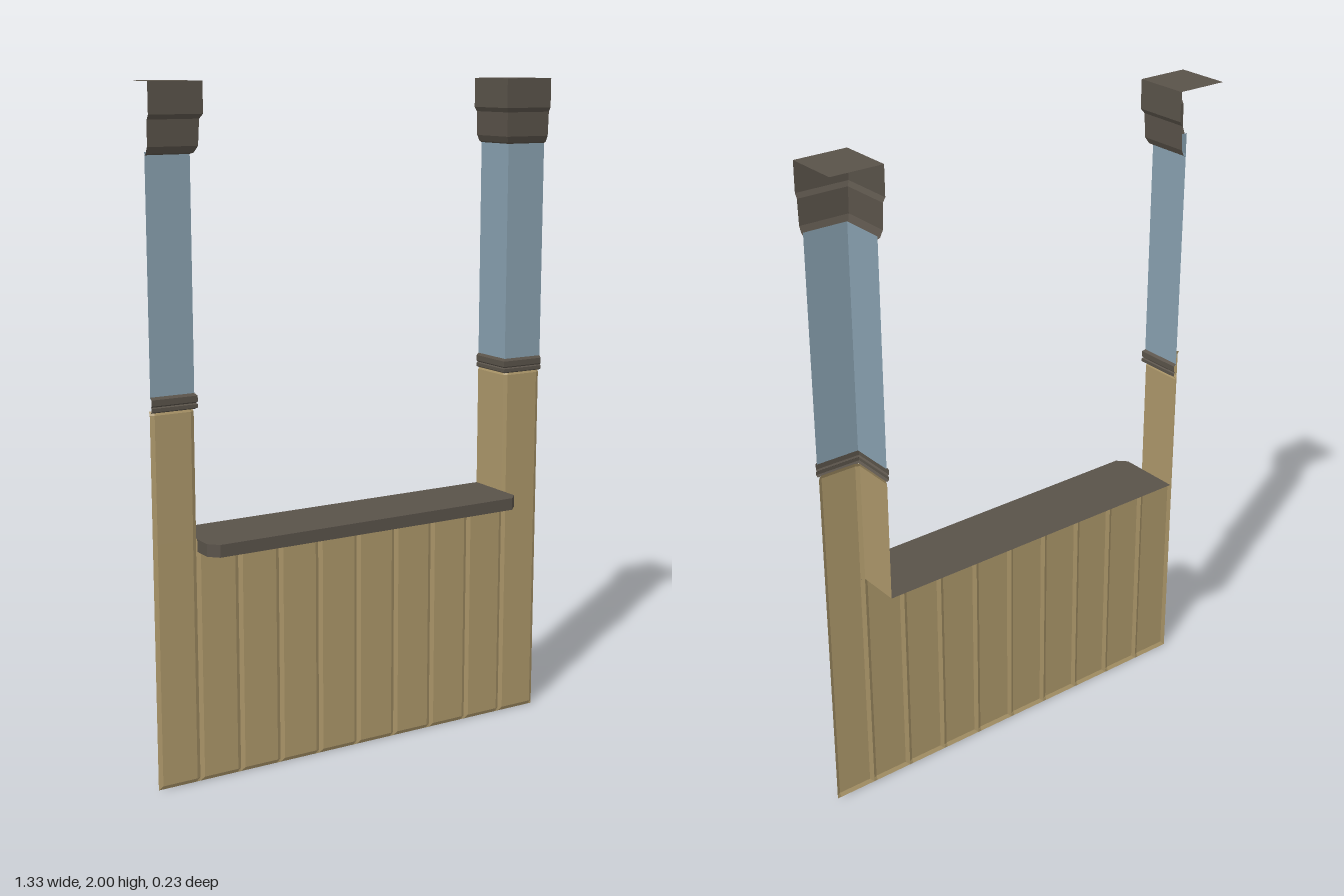
import * as THREE from 'three';

const HALF = 0.667;    // half width of the whole wall
const INNER = 0.533;   // inner face of each post
const FRONT = 0.024;   // front face of the planks
const BACK = -0.115;   // open back edge
const SILL_Y = 0.73;
const BEVEL = 0.012, GROOVE = 0.006;

// Flat-shaded open surface from rows of points (rows go up, points go left to right as seen from outside)
function surface(rows) {
  const pos = [];
  for (let r = 0; r < rows.length - 1; r++) {
    for (let c = 0; c < rows[r].length - 1; c++) {
      const a = rows[r][c], b = rows[r][c + 1], d = rows[r + 1][c + 1], e = rows[r + 1][c];
      pos.push(...a, ...b, ...d, ...a, ...d, ...e);
    }
  }
  const geo = new THREE.BufferGeometry();
  geo.setAttribute('position', new THREE.Float32BufferAttribute(pos, 3));
  geo.computeVertexNormals();
  return geo;
}

// L-shaped shell (inner side + front) swept along a profile of [outward offset, height]
function postShell(profile, side, bevelled = false) {
  return surface(profile.map(([o, y]) => {
    const x = INNER - o, z = FRONT + o;
    const path = bevelled
      ? [[x, BACK], [x, z - GROOVE], [x + BEVEL, z], [HALF - BEVEL, z], [HALF, z - GROOVE]]
      : [[x, BACK], [x, z], [HALF, z]];
    const row = path.map(([px, pz]) => [px * side, y, pz]);
    return side > 0 ? row : row.reverse();
  }));
}

function flatPlate(x0, x1, z0, z1, y) {
  return surface([[[x0, y, z1], [x1, y, z1]], [[x0, y, z0], [x1, y, z0]]]);
}

export function createModel() {
  const material = (name, color) => {
    const m = new THREE.MeshStandardMaterial({ color, side: THREE.DoubleSide });
    m.name = name;
    return m;
  };
  const wood = material('tan wood', 0xab9669);
  const blue = material('blue paint', 0x879fae);
  const dark = material('dark trim', 0x595249);

  const model = new THREE.Group();
  model.name = 'counterWall';
  const add = (parent, name, geo, mat) => {
    const mesh = new THREE.Mesh(geo, mat);
    mesh.name = name;
    parent.add(mesh);
    return mesh;
  };

  // Planked lower wall: ten bevelled boards with a bevelled foot
  const plankCount = 10, w = (2 * HALF) / plankCount;
  const wallRows = [[0, GROOVE], [BEVEL, 0], [SILL_Y, 0]].map(([y, inset]) => {
    const row = [];
    for (let i = 0; i < plankCount; i++) {
      const x = -HALF + i * w;
      if (i === 0) row.push([x, y, FRONT - GROOVE]);
      row.push([x + BEVEL, y, FRONT - inset], [x + w - BEVEL, y, FRONT - inset], [x + w, y, FRONT - GROOVE]);
    }
    return row;
  });
  add(model, 'plankWall', surface(wallRows), wood);

  // Sill: chamfered shelf in front, thin ledge behind
  const outline = new THREE.Shape();
  outline.moveTo(-INNER, -FRONT - 0.001);
  outline.lineTo(-INNER, -0.085);
  outline.lineTo(-INNER + 0.028, -0.113);
  outline.lineTo(INNER - 0.028, -0.113);
  outline.lineTo(INNER, -0.085);
  outline.lineTo(INNER, -FRONT - 0.001);
  outline.closePath();
  const shelf = new THREE.ExtrudeGeometry(outline, { depth: 0.037, bevelEnabled: false });
  shelf.rotateX(-Math.PI / 2);
  shelf.translate(0, SILL_Y - 0.037, 0);
  add(model, 'sillShelf', shelf, dark);
  add(model, 'sillLedge', flatPlate(-INNER, INNER, BACK, FRONT + 0.001, SILL_Y), dark);

  // Posts, open on the outer side and back
  const woodProfile = [[0, SILL_Y], [0, 1.098], [-0.005, 1.11]];
  const bandProfile = [[0, 1.105], [0.007, 1.109], [0.007, 1.119], [0.003, 1.122],
    [0.007, 1.126], [0.007, 1.143], [0, 1.15]];
  const blueProfile = [[0, 1.145], [0, 1.815]];
  const capProfile = [[0, 1.806], [0.008, 1.81], [0.017, 1.828], [0.02, 1.9], [0.028, 1.913], [0.028, 2]];
  for (const side of [1, -1]) {
    const post = new THREE.Group();
    post.name = side > 0 ? 'leftPost' : 'rightPost';
    add(post, 'postBase', postShell(woodProfile, side, true), wood);
    add(post, 'postBand', postShell(bandProfile, side), dark);
    add(post, 'postShaft', postShell(blueProfile, side), blue);
    add(post, 'postCap', postShell(capProfile, side), dark);
    const xs = [side * HALF, side * (INNER - 0.028)].sort((a, b) => a - b);
    add(post, 'capTop', flatPlate(xs[0], xs[1], BACK, FRONT + 0.028, 2), dark);
    model.add(post);
  }
  return model;
}
